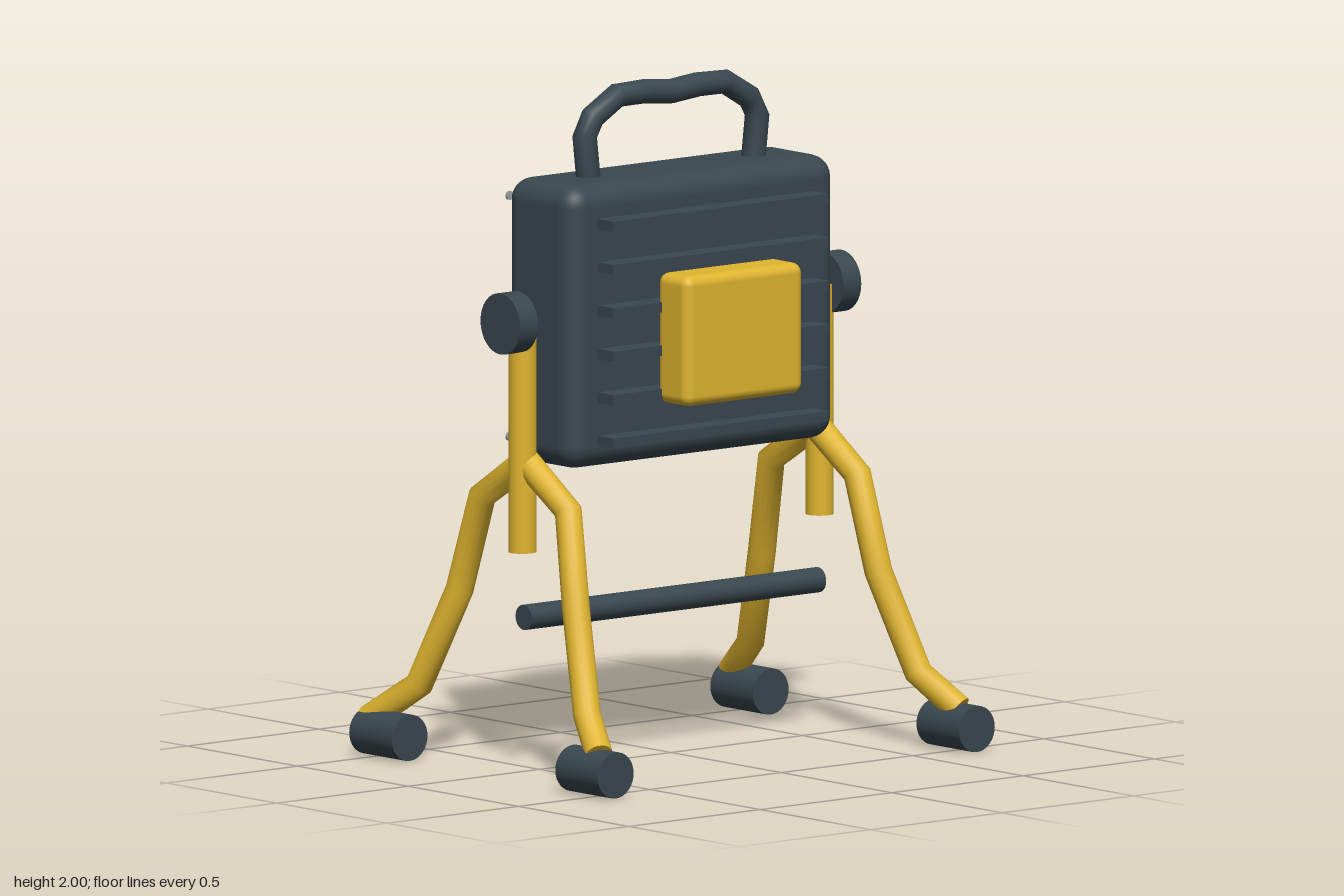
import * as THREE from 'three';
import { RoundedBoxGeometry } from 'three/addons/geometries/RoundedBoxGeometry.js';

const paint = (name, color) => {
  const m = new THREE.MeshStandardMaterial({ color });
  m.name = name;
  return m;
};

// Curve with one ring exactly at each given point
class BentPath extends THREE.Curve {
  constructor(points) {
    super();
    this.points = points.map((p) => new THREE.Vector3(...p));
  }
  getPoint(t, target = new THREE.Vector3()) {
    const n = this.points.length - 1;
    const i = Math.min(Math.floor(t * n + 1e-9), n - 1);
    return target.lerpVectors(this.points[i], this.points[i + 1], t * n - i);
  }
  getUtoTmapping(u) { return u; }
}

export function createModel() {
  const root = new THREE.Group();
  root.name = 'workLight';
  const dark = paint('darkGrey', 0x39474f);
  const yellow = paint('yellow', 0xe0b52f);
  const glass = paint('glassGrey', 0x9aa2a6);
  const led = paint('ledCream', 0xcfc5aa);
  const steel = paint('steel', 0x9a9fa3);

  const add = (name, geometry, material, x = 0, y = 0, z = 0) => {
    const mesh = new THREE.Mesh(geometry, material);
    mesh.name = name;
    mesh.position.set(x, y, z);
    root.add(mesh);
    return mesh;
  };
  const box = (w, h, d) => new THREE.BoxGeometry(w, h, d);
  const rounded = (w, h, d, r) => new RoundedBoxGeometry(w, h, d, 4, r);
  const rod = (r, length, axis = 'y') => {
    const g = new THREE.CylinderGeometry(r, r, length, 32);
    if (axis === 'x') g.rotateZ(Math.PI / 2);
    if (axis === 'z') g.rotateX(Math.PI / 2);
    return g;
  };
  // Bent tube with closed ends
  const pipe = (name, points, r, material) => {
    const path = new BentPath(points);
    add(name, new THREE.TubeGeometry(path, points.length - 1, r, 16), material);
    for (const [t, s] of [[0, -1], [1, 1]]) {
      const cap = new THREE.CircleGeometry(r, 16);
      const end = path.getPoint(t);
      const mesh = add(name + 'Cap', cap, material, end.x, end.y, end.z);
      mesh.quaternion.setFromUnitVectors(new THREE.Vector3(0, 0, 1), path.getTangent(t).multiplyScalar(s));
    }
  };

  // Lamp housing, cooling fins and battery box
  const midY = 1.315;
  add('housing', rounded(1.02, 0.835, 0.31, 0.065), dark, 0, midY, 0);
  for (let i = 0; i < 6; i++) {
    add('coolingFin', box(0.82, 0.03, 0.09), dark, 0, 0.98 + i * 0.128, 0.182);
  }
  add('batteryBox', rounded(0.45, 0.385, 0.14, 0.03), yellow, 0, 1.272, 0.27);

  // Lamp face on the back
  add('bezel', rounded(0.91, 0.73, 0.03, 0.012), dark, 0, midY, -0.161);
  add('glass', box(0.84, 0.66, 0.012), glass, 0, midY, -0.177);
  for (let row = 0; row < 4; row++) {
    for (let col = 0; col < 6; col++) {
      add('led', box(0.058, 0.055, 0.014), led, (col - 2.5) * 0.125, 1.11 + row * 0.134, -0.189);
    }
  }
  for (const x of [-0.465, 0.465]) {
    for (const y of [0.96, 1.67]) add('screw', rod(0.013, 0.008, 'z'), steel, x, y, -0.177);
  }

  // Carrying handle
  const half = [[0.31, 1.69], [0.328, 1.85], [0.298, 1.905], [0.205, 1.96], [0.1, 1.962]];
  pipe('handle', [
    ...half.map(([x, y]) => [-x, y, 0]),
    [0, 1.952, 0],
    ...half.slice().reverse().map(([x, y]) => [x, y, 0]),
  ], 0.036, dark);

  // Stand
  add('crossBar', rod(0.037, 1.12, 'x'), dark, 0, 0.456, 0);
  for (const s of [-1, 1]) {
    add('upright', rod(0.041, 0.68), yellow, s * 0.565, 0.99, 0);
    add('tiltKnob', rod(0.09, 0.068, 'x'), dark, s * 0.615, 1.33, 0);
    pipe('frontLeg', [
      [s * 0.55, 0.915, 0], [s * 0.55, 0.79, 0.19], [s * 0.575, 0.51, 0.255],
      [s * 0.63, 0.22, 0.37], [s * 0.685, 0.12, 0.49],
    ], 0.041, yellow);
    pipe('backLeg', [
      [s * 0.55, 0.915, 0], [s * 0.55, 0.79, -0.2], [s * 0.575, 0.51, -0.272],
      [s * 0.63, 0.22, -0.39], [s * 0.688, 0.105, -0.55],
    ], 0.041, yellow);
    add('frontFoot', rod(0.068, 0.193, 'z'), dark, s * 0.687, 0.07, 0.472);
    add('backFoot', rod(0.068, 0.193, 'z'), dark, s * 0.687, 0.07, -0.462);
  }
  return root;
}
